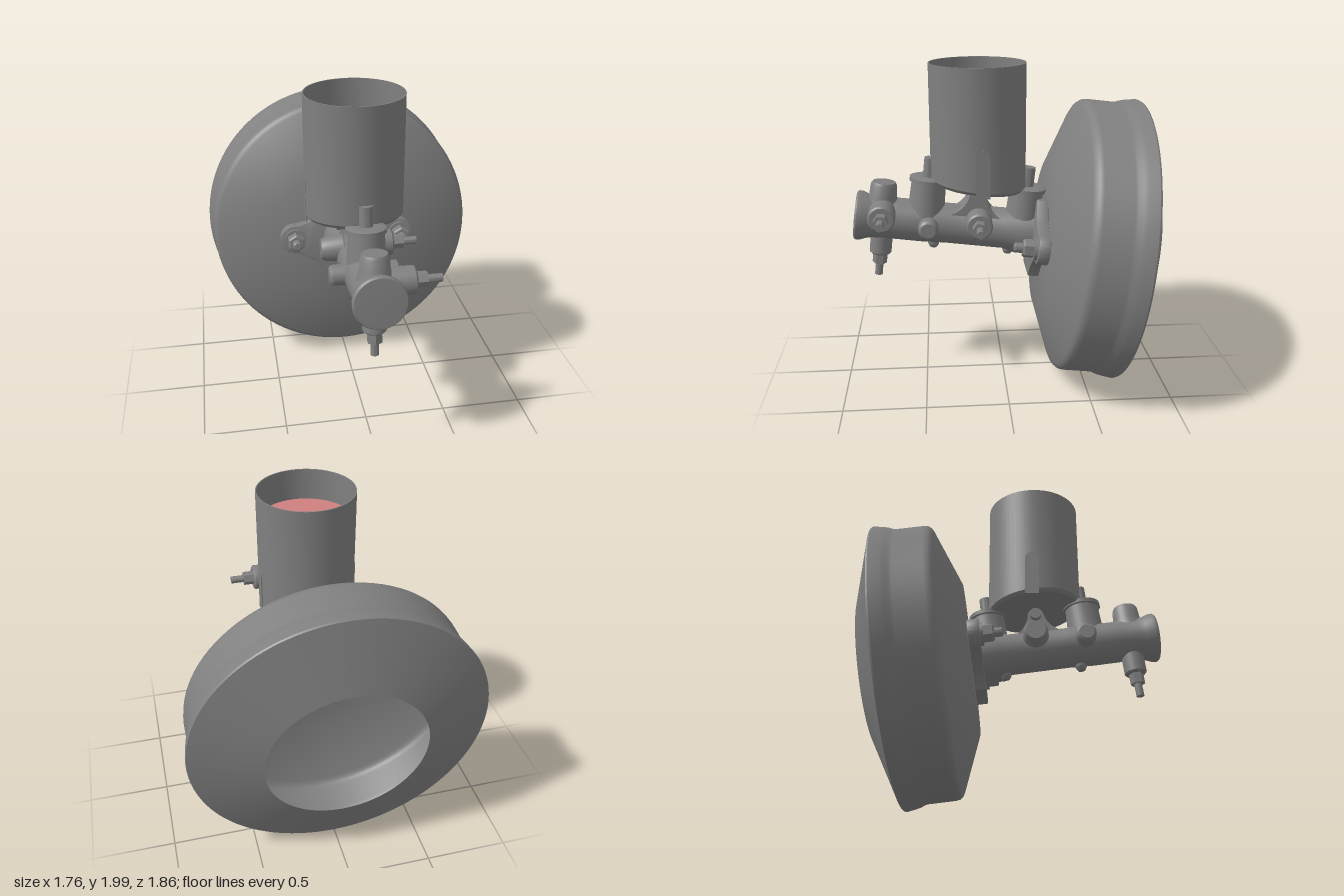
import * as THREE from 'three';
import { toCreasedNormals } from 'three/addons/utils/BufferGeometryUtils.js';

const metal = new THREE.MeshStandardMaterial({ color: 0x808080, side: THREE.DoubleSide });
metal.name = 'grey metal';
const fluidRed = new THREE.MeshStandardMaterial({ color: 0xd08080, side: THREE.DoubleSide });
fluidRed.name = 'fluid red';

const TILT = 0.119;

function add(parent, name, geometry, material = metal, crease = 0.5) {
  const mesh = new THREE.Mesh(toCreasedNormals(geometry, crease), material);
  mesh.name = name;
  parent.add(mesh);
  return mesh;
}

// Turned part: pairs of [radius, distance along its axis]
function turned(points, sides = 40) {
  return new THREE.LatheGeometry(points.map(([r, d]) => new THREE.Vector2(r, d)), sides);
}

// Turned part pointing in a given direction from a start point
function turnedAt(parent, name, points, position, direction, sides = 32) {
  const mesh = add(parent, name, turned(points, sides));
  mesh.position.set(...position);
  mesh.quaternion.setFromUnitVectors(new THREE.Vector3(0, 1, 0), new THREE.Vector3(...direction));
  return mesh;
}

// Threaded outlet: round boss, hexagonal nut and thin pipe
function outlet(parent, name, position, direction, bossEnd, bossRadius, tip) {
  const group = new THREE.Group();
  group.name = name;
  parent.add(group);
  const nutEnd = bossEnd + 0.065;
  turnedAt(group, 'outletBoss', [[bossRadius, 0], [bossRadius, bossEnd - 0.01],
    [bossRadius - 0.01, bossEnd], [0, bossEnd]], position, direction);
  turnedAt(group, 'outletNut', [[0.045, bossEnd - 0.01], [0.045, nutEnd], [0, nutEnd]], position, direction, 6);
  turnedAt(group, 'outletPipe', [[0.024, nutEnd - 0.02], [0.024, tip], [0, tip]], position, direction, 20);
}

function mountingFlange() {
  const s = new THREE.Shape();
  s.moveTo(-0.12, -0.25);
  s.lineTo(0.12, -0.25);
  s.quadraticCurveTo(0.18, -0.13, 0.31, -0.08);
  s.absarc(0.34, 0, 0.085, -1.2, 1.75, false);
  s.quadraticCurveTo(0.22, 0.1, 0.16, 0.17);
  s.lineTo(0.1, 0.22);
  s.lineTo(-0.1, 0.22);
  s.lineTo(-0.16, 0.17);
  s.quadraticCurveTo(-0.22, 0.1, -0.325, 0.084);
  s.absarc(-0.34, 0, 0.085, 1.39, 4.34, false);
  s.quadraticCurveTo(-0.18, -0.13, -0.12, -0.25);
  return new THREE.ExtrudeGeometry(s, {
    depth: 0.055, bevelSize: 0.008, bevelThickness: 0.008, bevelSegments: 2, curveSegments: 20,
  });
}

export function createModel() {
  const model = new THREE.Group();
  model.name = 'brakeBooster';

  // Booster and cylinder share one axis, tipped slightly upward at the front
  const unit = new THREE.Group();
  unit.name = 'tiltedAssembly';
  unit.position.set(0, 0.94, -0.245);
  unit.rotation.x = -TILT;
  model.add(unit);

  // Hollow booster drum, open at the back
  turnedAt(unit, 'boosterShell', [
    [0.473, -0.635], [0.878, -0.5], [0.882, -0.49], [0.872, -0.43], [0.866, -0.405],
    [0.856, -0.38], [0.852, -0.36], [0.852, -0.19], [0.848, -0.165], [0.835, -0.147],
    [0.815, -0.136], [0.473, 0], [0, 0],
  ], [0, 0, 0], [0, 0, 1], 96);

  // Cylinder body with a flared front cap
  turnedAt(unit, 'cylinderBody', [
    [0.15, 0], [0.15, 0.16], [0.128, 0.24], [0.125, 0.6], [0.13, 0.75], [0.128, 0.95],
    [0.13, 1.05], [0.138, 1.09], [0.151, 1.125], [0.153, 1.15], [0.145, 1.162], [0, 1.168],
  ], [-0.005, 0, 0], [0, 0, 1], 48);

  // Mounting flange with washers, nuts and studs
  add(unit, 'mountingFlange', mountingFlange()).position.z = 0.008;
  for (const x of [-0.34, 0.34]) {
    const at = [x, 0, 0];
    turnedAt(unit, 'studWasher', [[0.07, 0.06], [0.07, 0.09], [0, 0.09]], at, [0, 0, 1]);
    turnedAt(unit, 'studNut', [[0.057, 0.09], [0.057, 0.145], [0.048, 0.155], [0, 0.155]], at, [0, 0, 1], 6);
    turnedAt(unit, 'stud', [[0.028, 0.15], [0.028, 0.2], [0.02, 0.207], [0, 0.207]], at, [0, 0, 1], 20);
  }

  // Fluid inlets on top, each with a collar and nipple
  for (const z of [0.13, 0.735]) {
    turnedAt(unit, 'fluidInlet', [
      [0.12, 0], [0.11, 0.14], [0.105, 0.255], [0.118, 0.258], [0.118, 0.283], [0.1, 0.29],
      [0.04, 0.29], [0.04, 0.408], [0, 0.408],
    ], [0, 0, z], [0, 1, 0]);
  }

  // Plug on top of the nose
  turnedAt(unit, 'topPlug', [[0.11, 0.06], [0.085, 0.14], [0.08, 0.21], [0.07, 0.228], [0, 0.228]],
    [-0.005, 0, 1.005], [0, 1, 0]);

  // Brake line outlets
  outlet(unit, 'frontSideOutlet', [0, 0.052, 0.998], [1, 0, 0], 0.22, 0.082, 0.37);
  outlet(unit, 'rearSideOutlet', [0, 0.062, 0.41], [1, 0, 0], 0.22, 0.08, 0.37);
  outlet(unit, 'lowerOutlet', [-0.01, 0, 0.995], [0, -1, 0], 0.235, 0.068, 0.38);

  // Round side bosses and small underside bosses
  for (const side of [-1, 1]) {
    turnedAt(unit, 'sideBoss', [[0.065, 0], [0.06, 0.19], [0.045, 0.205], [0, 0.205]],
      [-0.01, 0, 0.714], [side, 0, 0]);
  }
  turnedAt(unit, 'rearSideBoss', [[0.09, 0], [0.075, 0.19], [0.06, 0.22], [0, 0.22]],
    [0, 0.05, 0.41], [-1, 0, 0]);
  for (const z of [0.2, 0.67]) {
    turnedAt(unit, 'undersideBoss', [[0.04, 0], [0.035, 0.14], [0.022, 0.162], [0, 0.162]],
      [0, 0, z], [0, -1, 0]);
  }

  // Reservoir saddle lug with a cross pin
  const lug = new THREE.Shape();
  lug.moveTo(-0.16, 0.08);
  lug.quadraticCurveTo(-0.07, 0.12, -0.05, 0.21);
  lug.absarc(0, 0.21, 0.05, Math.PI, 0, true);
  lug.quadraticCurveTo(0.07, 0.12, 0.16, 0.08);
  const lugMesh = add(unit, 'saddleLug', new THREE.ExtrudeGeometry(lug, { depth: 0.18, bevelEnabled: false }));
  lugMesh.rotation.y = Math.PI / 2;
  lugMesh.position.set(-0.09, 0, 0.43);
  turnedAt(unit, 'crossPin', [[0, 0], [0.036, 0], [0.036, 0.24], [0.022, 0.24], [0.022, 0.25], [0, 0.25]],
    [-0.125, 0.21, 0.43], [1, 0, 0], 20);

  // Upright reservoir, open at the top, its floor following the tilt
  const reservoir = new THREE.Group();
  reservoir.name = 'reservoir';
  reservoir.position.set(-0.015, 0, 0.15);
  model.add(reservoir);
  const wall = turned([[0, 1.255], [0.275, 1.255], [0.291, 1.275], [0.291, 2], [0.284, 2], [0.284, 1.6]], 64);
  const p = wall.attributes.position;
  for (let i = 0; i < p.count; i++) {
    if (p.getY(i) < 1.4) p.setY(i, p.getY(i) + p.getZ(i) * TILT);
  }
  add(reservoir, 'reservoirWall', wall);

  // Fluid surface inside
  const fluid = add(reservoir, 'fluidSurface', new THREE.CircleGeometry(0.283, 64), fluidRed);
  fluid.rotation.x = -Math.PI / 2;
  fluid.position.y = 1.81;

  // Round-topped clip strips on both sides
  const strip = new THREE.Shape();
  strip.moveTo(-0.042, 1.24);
  strip.lineTo(0.042, 1.24);
  strip.lineTo(0.042, 1.488);
  strip.absarc(0, 1.488, 0.042, 0, Math.PI, false);
  for (const side of [-1, 1]) {
    const mesh = add(reservoir, 'sideClip', new THREE.ExtrudeGeometry(strip, { depth: 0.008, bevelEnabled: false }));
    mesh.rotation.y = side * Math.PI / 2;
    mesh.position.set(side * 0.284, 0, -0.015);
  }
  return model;
}
